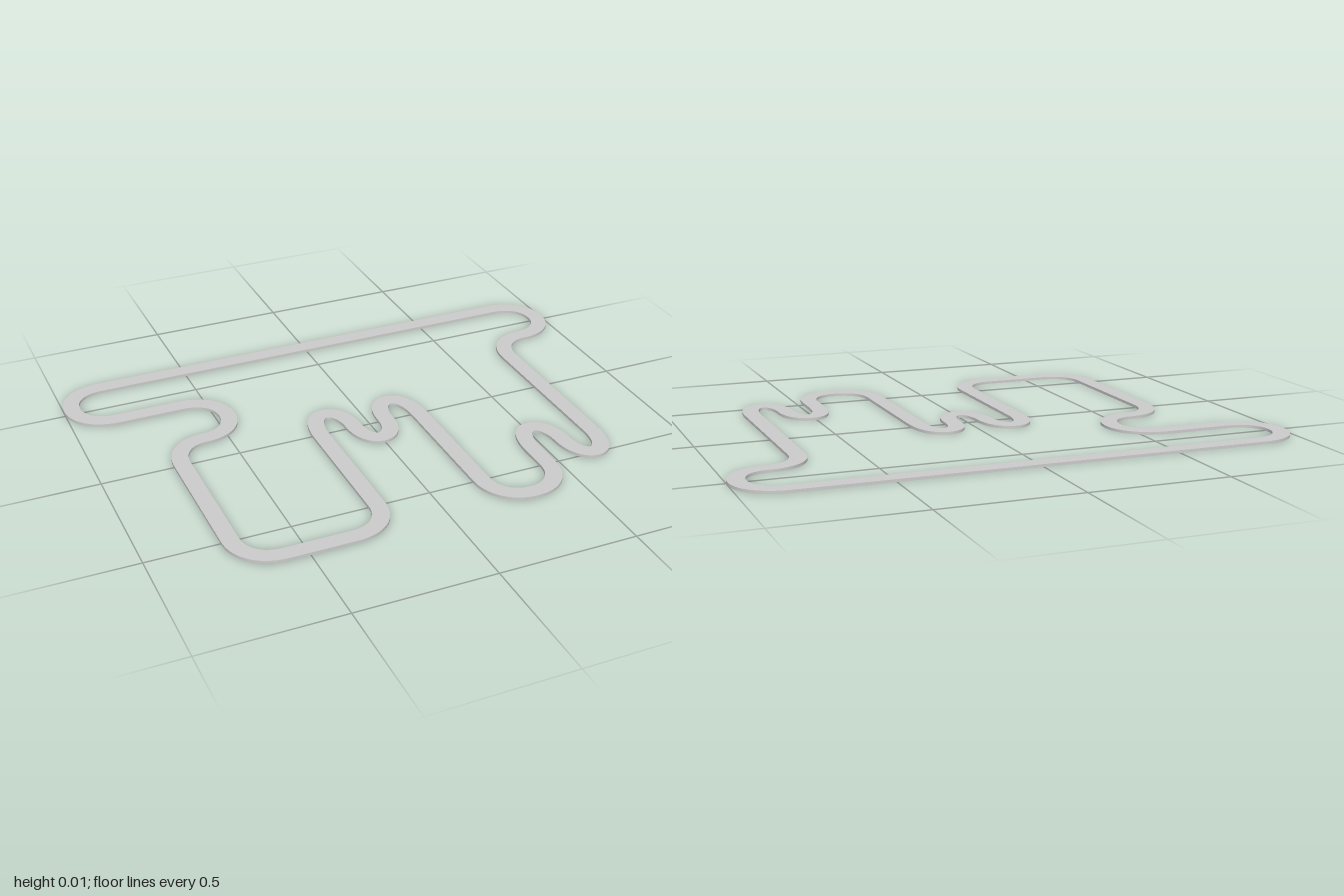
import * as THREE from 'three';
import { toCreasedNormals } from 'three/addons/utils/BufferGeometryUtils.js';

const HALF_WIDTH = 0.03, THICKNESS = 0.01, CORNER = 0.14;

// Corners of the road's centre line as [x, z], in order around the circuit
const CORNERS = [
  [-0.97, -0.647], [-0.97, -0.392], [-0.457, -0.392], [-0.457, -0.135],
  [-0.712, -0.135], [-0.712, 0.644], [-0.197, 0.644], [-0.197, -0.12],
  [-0.065, -0.12], [-0.065, 0.112], [0.062, 0.112], [0.062, -0.12],
  [0.192, -0.12], [0.192, 0.644], [0.452, 0.644], [0.452, 0.267],
  [0.58, 0.267], [0.58, 0.502], [0.709, 0.502], [0.709, -0.392],
  [0.97, -0.392], [0.97, -0.647],
].map(([x, z]) => new THREE.Vector2(x, -z));

// Point on the way from a to b, at most half way, where a corner's curve begins
function towards(a, b) {
  const d = a.distanceTo(b);
  return a.clone().lerp(b, Math.min(CORNER, d / 2) / d);
}

// Points and sideways directions along the rounded centre line
function centreLine() {
  const points = [], n = CORNERS.length, steps = 20;
  CORNERS.forEach((c, i) => {
    const a = towards(c, CORNERS[(i + n - 1) % n]);
    const b = towards(c, CORNERS[(i + 1) % n]);
    const bend = new THREE.CubicBezierCurve(a, a.clone().lerp(c, 0.6), b.clone().lerp(c, 0.6), b);
    for (let s = 0; s <= steps; s++) {
      const point = bend.getPoint(s / steps);
      const t = bend.getTangent(s / steps);
      const last = points[points.length - 1];
      if (last && last.point.distanceTo(point) < 1e-4) continue;
      points.push({ point, side: new THREE.Vector2(t.y, -t.x) });
    }
  });
  return points;
}

export function createModel() {
  const group = new THREE.Group();
  group.name = 'raceCircuit';

  // Flat closed road: the outer edge with the inner edge cut out
  const line = centreLine();
  const edge = (offset) => line.map(({ point, side }) => point.clone().addScaledVector(side, offset));
  const outline = new THREE.Shape(edge(HALF_WIDTH));
  outline.holes.push(new THREE.Path(edge(-HALF_WIDTH)));

  const geometry = new THREE.ExtrudeGeometry(outline, { depth: THICKNESS, bevelEnabled: false });
  geometry.rotateX(-Math.PI / 2);
  const road = new THREE.Mesh(
    toCreasedNormals(geometry, 0.6),
    new THREE.MeshStandardMaterial({ color: 0xcccccc }),
  );
  road.name = 'road';
  group.add(road);
  return group;
}
